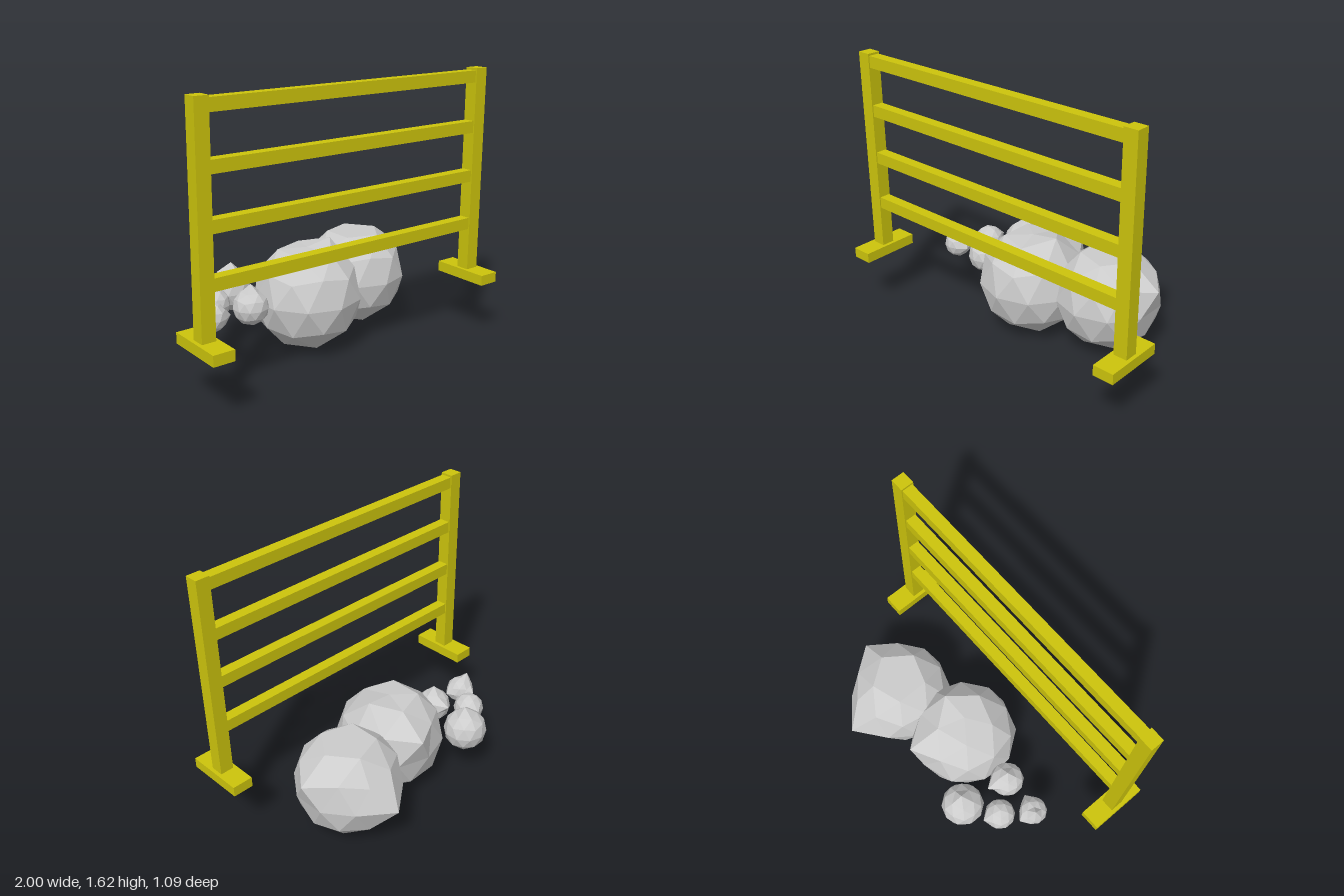
import * as THREE from 'three';

const yellow = new THREE.MeshStandardMaterial({ color: 0xccc40c });
const stone = new THREE.MeshStandardMaterial({ color: 0xcccccc, flatShading: true });

function box(name, size, pos) {
  const mesh = new THREE.Mesh(new THREE.BoxGeometry(...size), yellow);
  mesh.name = name;
  mesh.position.set(...pos);
  return mesh;
}

// Low-poly boulder: an icosphere standing on a vertex; for every point in
// "pulls" (relative to the centre) the nearest vertex is moved there.
function rock(name, center, radius, pulls) {
  const geo = new THREE.IcosahedronGeometry(radius, 1);
  geo.rotateZ(-Math.atan(2 / (1 + Math.sqrt(5))));
  const pos = geo.attributes.position;
  const base = [];
  for (let i = 0; i < pos.count; i++) base.push(new THREE.Vector3().fromBufferAttribute(pos, i));
  for (const p of pulls) {
    const target = new THREE.Vector3(...p);
    const dir = target.clone().setLength(radius);
    const nearest = base.reduce((a, b) => (b.distanceTo(dir) < a.distanceTo(dir) ? b : a));
    base.forEach((v, i) => {
      if (v.distanceTo(nearest) < radius * 0.01) pos.setXYZ(i, target.x, target.y, target.z);
    });
  }
  geo.computeVertexNormals();
  const mesh = new THREE.Mesh(geo, stone);
  mesh.name = name;
  mesh.position.set(...center);
  return mesh;
}

export function createModel() {
  const model = new THREE.Group();
  model.name = 'fenceWithRocks';

  // Fence: two posts on feet, four rails between them
  const fence = new THREE.Group();
  fence.name = 'fence';
  for (const [side, s] of [['left', 1], ['right', -1]]) {
    fence.add(box(side + 'Post', [0.082, 1.225, 0.08], [s * 0.937, 1.015, 0.365]));
    fence.add(box(side + 'Foot', [0.125, 0.062, 0.36], [s * 0.937, 0.373, 0.365]));
  }
  [0.695, 0.99, 1.285, 1.58].forEach((y, i) =>
    fence.add(box('rail' + (i + 1), [1.8, 0.07, 0.066], [0, y, 0.365])));
  model.add(fence);

  // Rocks: two boulders and four small stones
  const rocks = new THREE.Group();
  rocks.name = 'rocks';
  rocks.add(
    rock('middleBoulder', [-0.015, 0.328, -0.015], 0.325,
      [[0, 0.29, 0], [0.172, 0.317, -0.005], [0.088, 0.17, -0.355]]),
    rock('leftBoulder', [0.45, 0.335, -0.145], 0.315,
      [[0, 0.268, 0], [0.342, 0.143, 0], [0, 0, -0.4]]),
    rock('backStone', [-0.36, 0.345, -0.322], 0.13, [[0.012, 0.165, 0]]),
    rock('smallStone', [-0.55, 0.335, -0.188], 0.093, [[0.03, 0.02, -0.105]]),
    rock('nearStone', [-0.415, 0.34, -0.013], 0.105,
      [[0, 0.138, 0], [0.02, 0.05, -0.14]]),
    rock('endStone', [-0.665, 0.335, -0.02], 0.085,
      [[-0.035, 0.117, -0.02], [0.105, 0, 0.025], [0, 0.02, -0.11]]),
  );
  model.add(rocks);
  return model;
}
